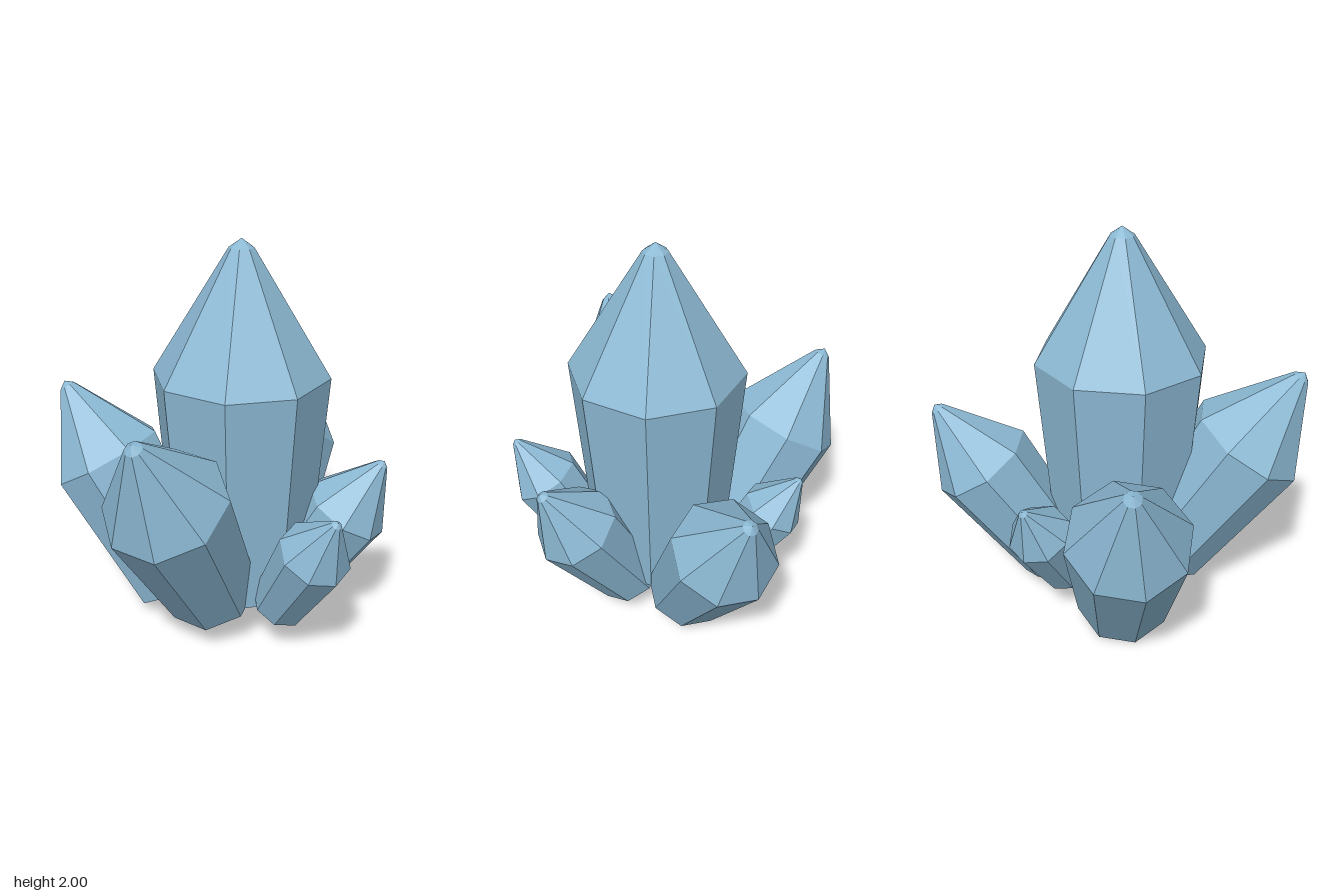
import * as THREE from 'three';

// Name, tip position, growth direction, shoulder radius
const CRYSTALS = [
  ['mainCrystal', [0.01, 2.0, 0.075], [0, 1, 0], 0.435],
  ['frontCrystal', [0.01, 0.86, 0.82], [0, 0.839, 0.545], 0.18],
  ['rightFrontCrystal', [-0.805, 1.305, 0.44], [-0.48, 0.84, 0.25], 0.305],
  ['rightBackCrystal', [-0.535, 1.18, -0.755], [-0.285, 0.857, -0.43], 0.303],
  ['leftBackCrystal', [0.805, 1.085, -0.425], [0.466, 0.835, -0.292], 0.264],
  ['leftFrontCrystal', [0.52, 0.935, 0.57], [0.35, 0.845, 0.4], 0.22],
  ['backCrystal', [0.117, 0.81, -0.655], [0, 0.845, -0.535], 0.16],
];

export function createModel() {
  const group = new THREE.Group();
  group.name = 'crystalCluster';

  const material = new THREE.MeshStandardMaterial({
    color: 0x8cb9d4,
    flatShading: true,
    side: THREE.DoubleSide,
  });

  // Eight-sided shard with its tip at the origin: open base, flared body, long point, blunt cap
  const profile = [[0.8, -4.07], [1, -1.5], [0.14, -0.1], [0, 0]];
  const shard = new THREE.LatheGeometry(profile.map(([r, y]) => new THREE.Vector2(r, y)), 8);

  // Every crystal is the same shard, scaled and leaned outward
  const up = new THREE.Vector3(0, 1, 0);
  for (const [name, tip, direction, radius] of CRYSTALS) {
    const crystal = new THREE.Mesh(shard, material);
    crystal.name = name;
    crystal.position.set(...tip);
    crystal.quaternion.setFromUnitVectors(up, new THREE.Vector3(...direction).normalize());
    crystal.scale.setScalar(radius);
    group.add(crystal);
  }
  return group;
}
